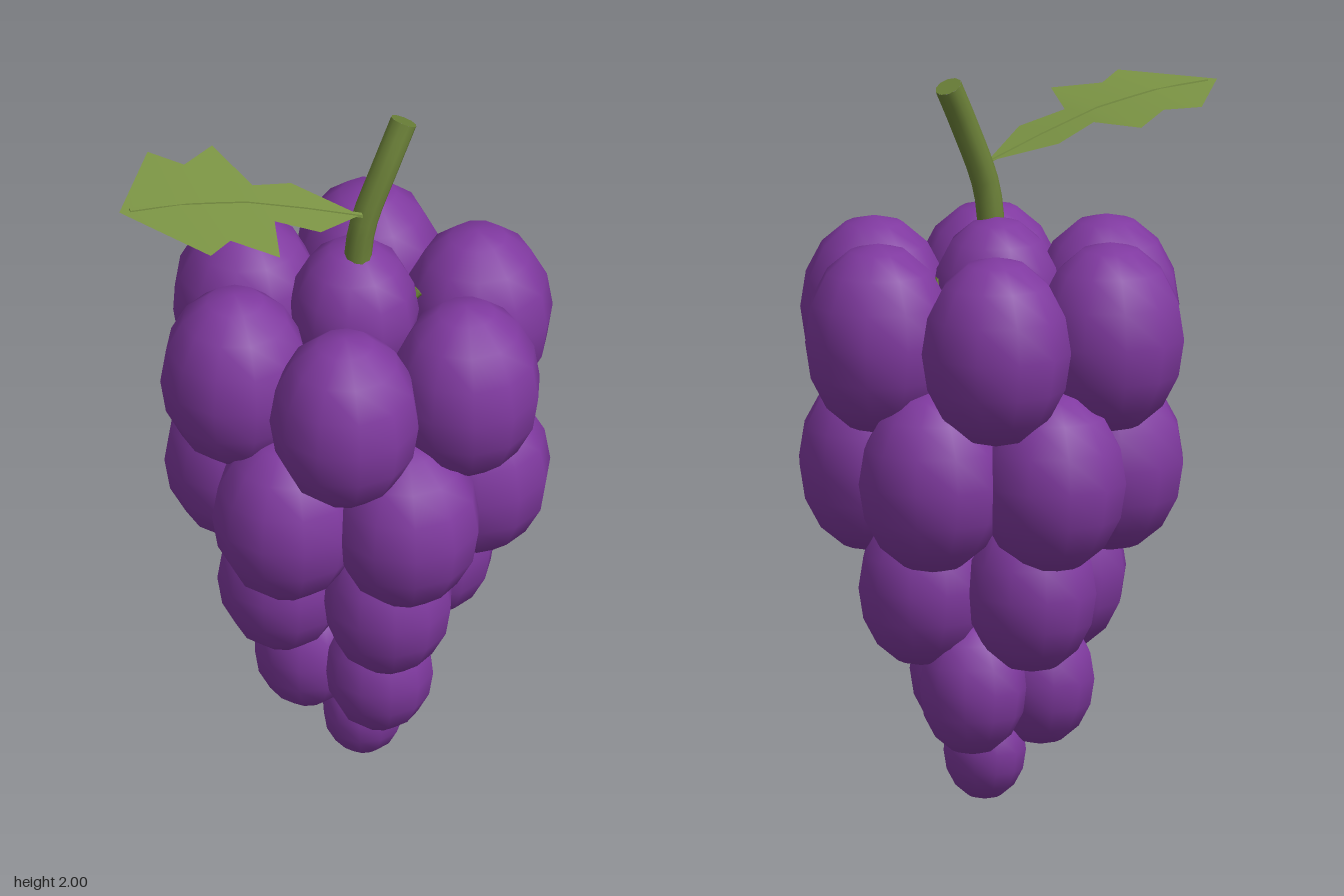
import * as THREE from 'three';

const berryMat = new THREE.MeshStandardMaterial({ color: 0x8039a0 });
berryMat.name = 'grapePurple';
const stemMat = new THREE.MeshStandardMaterial({ color: 0x6b8038 });
stemMat.name = 'stemGreen';
const leafMat = new THREE.MeshStandardMaterial({ color: 0x7d9645, side: THREE.DoubleSide });
leafMat.name = 'leafGreen';

const V = (x, y, z) => new THREE.Vector3(x, y, z);

function add(parent, name, geometry, material) {
  const mesh = new THREE.Mesh(geometry, material);
  mesh.name = name;
  parent.add(mesh);
  return mesh;
}

// Tube along points, closed by a disc at the far end
function cappedTube(parent, name, points, radius, segments, sides) {
  const curve = new THREE.CatmullRomCurve3(points);
  add(parent, name, new THREE.TubeGeometry(curve, segments, radius, sides), stemMat);
  const cap = add(parent, name + 'End', new THREE.CircleGeometry(radius, sides), stemMat);
  cap.position.copy(curve.getPoint(1));
  cap.quaternion.setFromUnitVectors(V(0, 0, 1), curve.getTangent(1));
}

// Height of the arched leaf at a given x
const ARCH = [[-0.62, 1.91], [-0.45, 1.9], [-0.27, 1.868], [-0.1, 1.81], [0.07, 1.745]];
function leafHeight(x) {
  let i = 0;
  while (i < ARCH.length - 2 && x > ARCH[i + 1][0]) i++;
  const [x0, y0] = ARCH[i], [x1, y1] = ARCH[i + 1];
  return y0 + (y1 - y0) * (x - x0) / (x1 - x0);
}

// Jagged blade: strips between the midline and each mirrored edge
function leafGeometry() {
  const edge = [[0.065, 0], [-0.09, 0.123], [-0.21, 0.09], [-0.26, 0.28],
    [-0.37, 0.19], [-0.45, 0.26], [-0.62, 0]];
  const pos = [], index = [];
  for (const side of [-1, 1]) {
    const base = pos.length / 3;
    edge.forEach(([x, w], i) => {
      const y = leafHeight(x);
      pos.push(x, y, 0.033, x, y, 0.033 + side * w);
      if (!i) return;
      const a = base + 2 * (i - 1), b = a + 1, c = a + 2, d = a + 3;
      if (side < 0) index.push(a, b, c, b, d, c);
      else index.push(a, c, b, b, c, d);
    });
  }
  const g = new THREE.BufferGeometry();
  g.setAttribute('position', new THREE.Float32BufferAttribute(pos, 3));
  g.setIndex(index);
  g.computeVertexNormals();
  return g;
}

// Thin raised vein following the arch
function veinGeometry() {
  const g = new THREE.BoxGeometry(0.66, 0.009, 0.013, 8, 1, 1);
  g.translate(-0.26, 0, 0.033);
  const p = g.attributes.position;
  for (let i = 0; i < p.count; i++) p.setY(i, p.getY(i) + leafHeight(p.getX(i)));
  g.computeVertexNormals();
  return g;
}

export function createModel() {
  const model = new THREE.Group();
  model.name = 'grapeBunch';

  // Tiers of berries, from the shoulder down to the tip
  const berry = new THREE.SphereGeometry(1, 11, 8);
  const tiers = [
    { name: 'crown', n: 1, x: 0.07, z: -0.035, y: 1.39, ring: 0, start: 0, r: 0.175, h: 0.22 },
    { name: 'shoulder', n: 6, x: 0.065, z: 0, y: 1.31, ring: 0.36, start: 54, r: 0.203, h: 0.26 },
    { name: 'upper', n: 6, x: 0.065, z: 0.007, y: 0.935, ring: 0.32, start: 25, r: 0.203, h: 0.25 },
    { name: 'middle', n: 4, x: 0.065, z: 0, y: 0.615, ring: 0.215, start: -4, r: 0.177, h: 0.222 },
    { name: 'lower', n: 3, x: 0.062, z: 0.005, y: 0.335, ring: 0.13, start: 80, r: 0.147, h: 0.185 },
    { name: 'tip', n: 1, x: 0.077, z: 0.022, y: 0.14, ring: 0, start: 0, r: 0.112, h: 0.14 },
  ];
  for (const t of tiers) {
    const group = new THREE.Group();
    group.name = t.name + 'Berries';
    for (let i = 0; i < t.n; i++) {
      const a = THREE.MathUtils.degToRad(t.start + i * 360 / t.n);
      const m = add(group, t.name + 'Berry', berry, berryMat);
      m.position.set(t.x + t.ring * Math.cos(a), t.y, t.z + t.ring * Math.sin(a));
      m.scale.set(t.r, t.h, t.r);
      m.rotation.y = -a;
    }
    model.add(group);
  }

  // Bent main stem and the small berry stalks
  cappedTube(model, 'stem', [V(0.07, 1.4, 0), V(0.07, 1.6, 0), V(0.085, 1.7, 0.002),
    V(0.15, 1.86, -0.008), V(0.21, 1.98, -0.03)], 0.037, 12, 10);
  cappedTube(model, 'stalk', [V(0.03, 1.36, 0.08), V(0, 1.41, 0.115), V(-0.035, 1.45, 0.15)], 0.018, 4, 6);
  cappedTube(model, 'stalk', [V(0.15, 1.36, 0), V(0.2, 1.41, 0), V(0.24, 1.44, 0)], 0.016, 4, 6);

  // Leaf
  const leaf = new THREE.Group();
  leaf.name = 'leaf';
  add(leaf, 'leafBlade', leafGeometry(), leafMat);
  add(leaf, 'leafVein', veinGeometry(), leafMat);
  model.add(leaf);

  return model;
}
